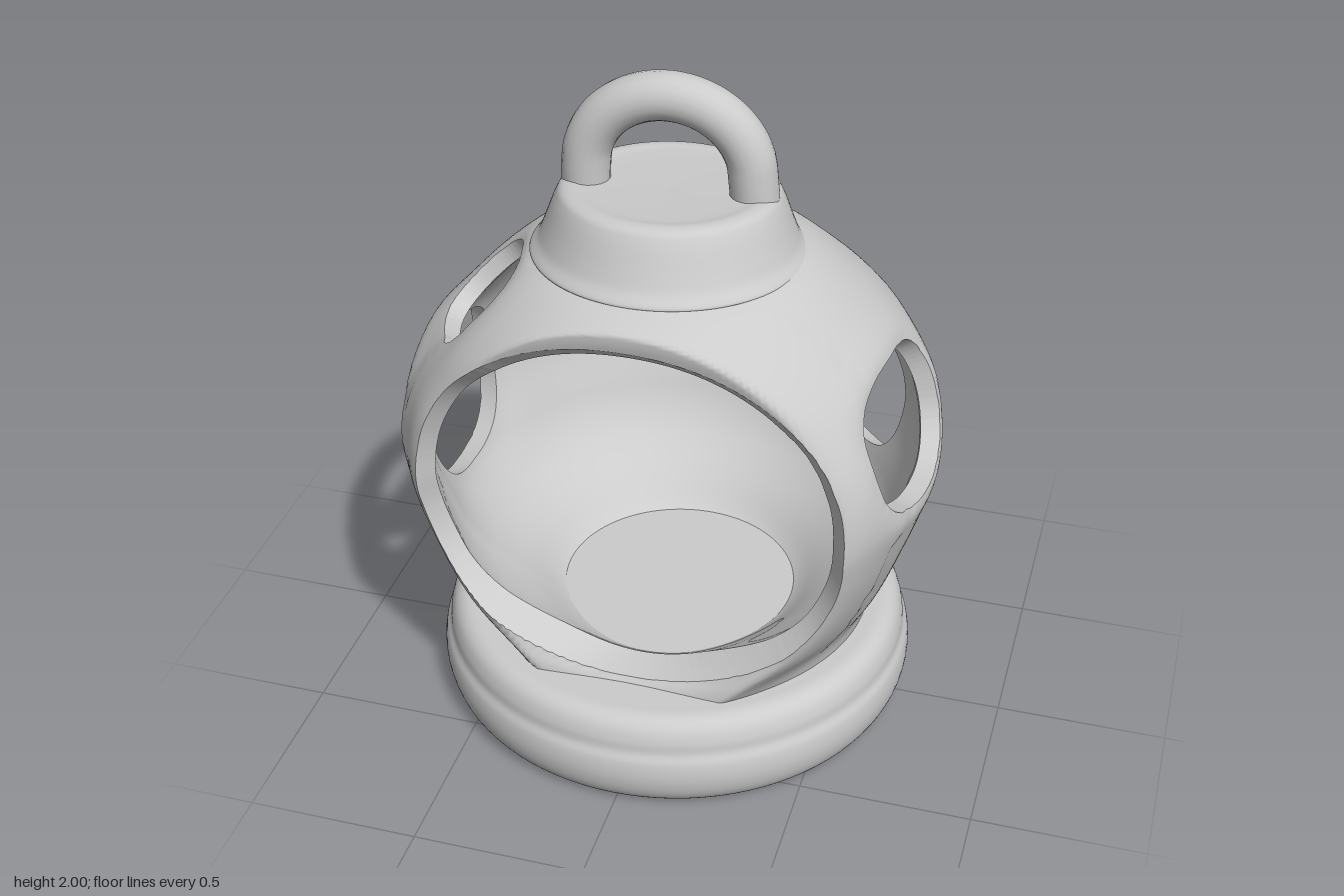
import * as THREE from 'three';
import { mergeVertices, mergeGeometries } from 'three/addons/utils/BufferGeometryUtils.js';

const V = (x, y, z) => new THREE.Vector3(x, y, z);
const material = new THREE.MeshStandardMaterial({ color: 0xcccccc });

// Openings: centre, facing axis n, width axis u, half sizes a and b, squareness p, lip height
const openings = [
  { c: V(-0.015, 0.86, 0), n: V(0, 0, 1), u: V(1, 0, 0), a: 0.625, b: 0.555, p: 2.15, lip: 0.05 },           // front
  { c: V(0, 1.06, 0.13), n: V(1, 0, 0), u: V(0, 0, 1), a: 0.25, b: 0.205, p: 2.6, lip: 0.015 },              // left side
  { c: V(0.525, 0.82, -0.465), n: V(0.72, 0, -0.69), u: V(0.69, 0, 0.72), a: 0.195, b: 0.2, p: 2.5, lip: 0 }, // back left
  { c: V(0, 0.86, 0.01), n: V(-1, 0, 0), u: V(0, 0, 1), a: 0.25, b: 0.27, p: 2.4, lip: 0.035 },              // right side
  { c: V(-0.385, 0, -0.395), n: V(0, 1, 0), u: V(0.8, 0, -0.52), a: 0.153, b: 0.1, p: 2.5, lip: 0 },         // upper three
  { c: V(0.225, 0, -0.428), n: V(0, 1, 0), u: V(0.88, 0, 0.42), a: 0.15, b: 0.107, p: 2.6, lip: 0 },
  { c: V(-0.53, 0, 0.19), n: V(0, 1, 0), u: V(0.25, 0, 0.97), a: 0.165, b: 0.115, p: 2.5, lip: 0 },
];
for (const o of openings) {
  o.u.normalize();
  o.v = o.n.clone().cross(o.u).normalize();
}
const middle = V(0, 0.85, 0.05);

// Rough distance to the nearest opening edge (negative inside) and the raised lip offset
function wallField(p) {
  let f = 1;
  const lift = V(0, 0, 0);
  for (const o of openings) {
    if (p.clone().sub(middle).dot(o.n) < 0.25) continue;
    const d = p.clone().sub(o.c);
    const s = Math.abs(d.dot(o.u) / o.a) ** o.p + Math.abs(d.dot(o.v) / o.b) ** o.p;
    const dist = (s ** (1 / o.p) - 1) * Math.min(o.a, o.b);
    f = Math.min(f, dist);
    lift.addScaledVector(o.n, o.lip * Math.exp(-((dist / 0.08) ** 2)));
  }
  return { f, lift };
}

// Globe profile as radius, height and z of the ring centre
const profile = new THREE.CatmullRomCurve3([
  [0.575, 0.27, 0], [0.59, 0.34, 0.01], [0.645, 0.46, 0.03], [0.695, 0.6, 0.045],
  [0.742, 0.75, 0.045], [0.762, 0.88, 0.045], [0.738, 1.05, 0.045], [0.67, 1.2, 0.05],
  [0.6, 1.3, 0.065], [0.505, 1.4, 0.075], [0.42, 1.47, 0.075], [0.35, 1.51, 0.07],
].map(a => V(...a)));

function globeGeometry(segs = 200, rows = 90, thick = 0.06) {
  // Matching outer and inner surface points; the inside narrows to a bowl at the bottom
  const grid = [];
  for (let j = 0; j <= rows; j++) {
    const q = profile.getPoint(j / rows), t = profile.getTangent(j / rows);
    const bowl = 0.18 * (Math.max(0, 0.6 - q.y) / 0.33) ** 2;
    const ring = [];
    for (let i = 0; i < segs; i++) {
      const th = Math.PI * 2 * i / segs, s = Math.sin(th), c = Math.cos(th);
      const o = V(q.x * s - 0.005, q.y, q.z + q.x * c);
      const n = V(t.y * s, -t.x, t.y * c).normalize();
      const { f, lift } = wallField(o);
      const inner = o.clone().addScaledVector(n, -thick).addScaledVector(V(s, 0, c), -bowl);
      inner.addScaledVector(lift, 0.5);
      o.add(lift);
      o.z = Math.min(o.z, 0.54);
      inner.z = Math.min(inner.z, 0.49);
      // Round off the outer edge of each opening
      o.lerp(inner, 0.2 * Math.exp(-Math.max(f, 0) / 0.018));
      ring.push({ o, i: inner, f });
    }
    grid.push(ring);
  }

  const skins = { outer: [], inner: [], rim: [] };
  const tri = (skin, ...ps) => ps.forEach(p => skins[skin].push(p.x, p.y, p.z));
  const cut = (A, B) => {
    const k = A.f / (A.f - B.f);
    return { o: A.o.clone().lerp(B.o, k), i: A.i.clone().lerp(B.i, k) };
  };
  // Trim a triangle at the openings and add the rim between both skins
  const addTrimmed = (...vs) => {
    const poly = [];
    let leave, enter;
    vs.forEach((A, k) => {
      const B = vs[(k + 1) % 3];
      if (A.f > 0) poly.push(A);
      if (A.f > 0 && B.f <= 0) poly.push(leave = cut(A, B));
      if (A.f <= 0 && B.f > 0) poly.push(enter = cut(B, A));
    });
    for (let k = 1; k < poly.length - 1; k++) {
      tri('outer', poly[0].o, poly[k].o, poly[k + 1].o);
      tri('inner', poly[0].i, poly[k + 1].i, poly[k].i);
    }
    if (leave && enter) {
      tri('rim', enter.o, leave.o, leave.i);
      tri('rim', enter.o, leave.i, enter.i);
    }
  };
  for (let j = 0; j < rows; j++) {
    for (let i = 0; i < segs; i++) {
      const k = (i + 1) % segs;
      const a = grid[j][i], b = grid[j][k], c = grid[j + 1][k], d = grid[j + 1][i];
      addTrimmed(a, b, c);
      addTrimmed(a, c, d);
    }
  }
  // Each skin is smooth on its own, with a crisp edge to the rim
  return mergeGeometries(Object.values(skins).map(pos => {
    let geo = new THREE.BufferGeometry();
    geo.setAttribute('position', new THREE.Float32BufferAttribute(pos, 3));
    geo = mergeVertices(geo, 1e-5);
    geo.computeVertexNormals();
    return geo;
  }));
}

// Turned part from radius/height points, softened between the flat ends
function turned(points) {
  const curve = new THREE.CatmullRomCurve3(points.map(([r, y]) => V(r, y, 0)), false, 'centripetal');
  const soft = curve.getPoints(48).map(p => new THREE.Vector2(Math.max(p.x, 0), p.y));
  return new THREE.LatheGeometry(soft, 96);
}

export function createModel() {
  const model = new THREE.Group();
  model.name = 'lantern';
  const add = (name, geo) => {
    const mesh = new THREE.Mesh(geo, material);
    mesh.name = name;
    model.add(mesh);
    return mesh;
  };

  // Two-step rounded base
  add('base', turned([
    [0, 0], [0.6, 0], [0.67, 0.005], [0.7, 0.04], [0.715, 0.1], [0.71, 0.16], [0.697, 0.19],
    [0.692, 0.225], [0.675, 0.265], [0.645, 0.287], [0.58, 0.29], [0, 0.29],
  ])).position.set(-0.012, 0, 0.008);

  // Hollow globe with openings
  add('globe', globeGeometry());

  // Tapered cap, slightly tilted back
  const cap = add('cap', turned([
    [0, -0.1], [0.36, -0.1], [0.385, -0.095], [0.362, -0.06], [0.345, -0.02],
    [0.314, 0.06], [0.298, 0.085], [0.27, 0.094], [0.23, 0.09], [0, 0.085],
  ]));
  cap.position.set(-0.013, 1.58, 0.07);
  cap.rotation.x = -0.045;

  // Arched hanging loop
  const arch = [V(-0.25, 1.62, 0.075)];
  for (let i = 0; i <= 12; i++) {
    const t = Math.PI * (1 - i / 12);
    arch.push(V(-0.015 + 0.232 * Math.cos(t), 1.715 + 0.217 * Math.sin(t), 0.067 - 0.01 * Math.cos(t)));
  }
  arch.push(V(0.225, 1.62, 0.055));
  add('handle', new THREE.TubeGeometry(new THREE.CatmullRomCurve3(arch), 64, 0.068, 20));

  return model;
}
